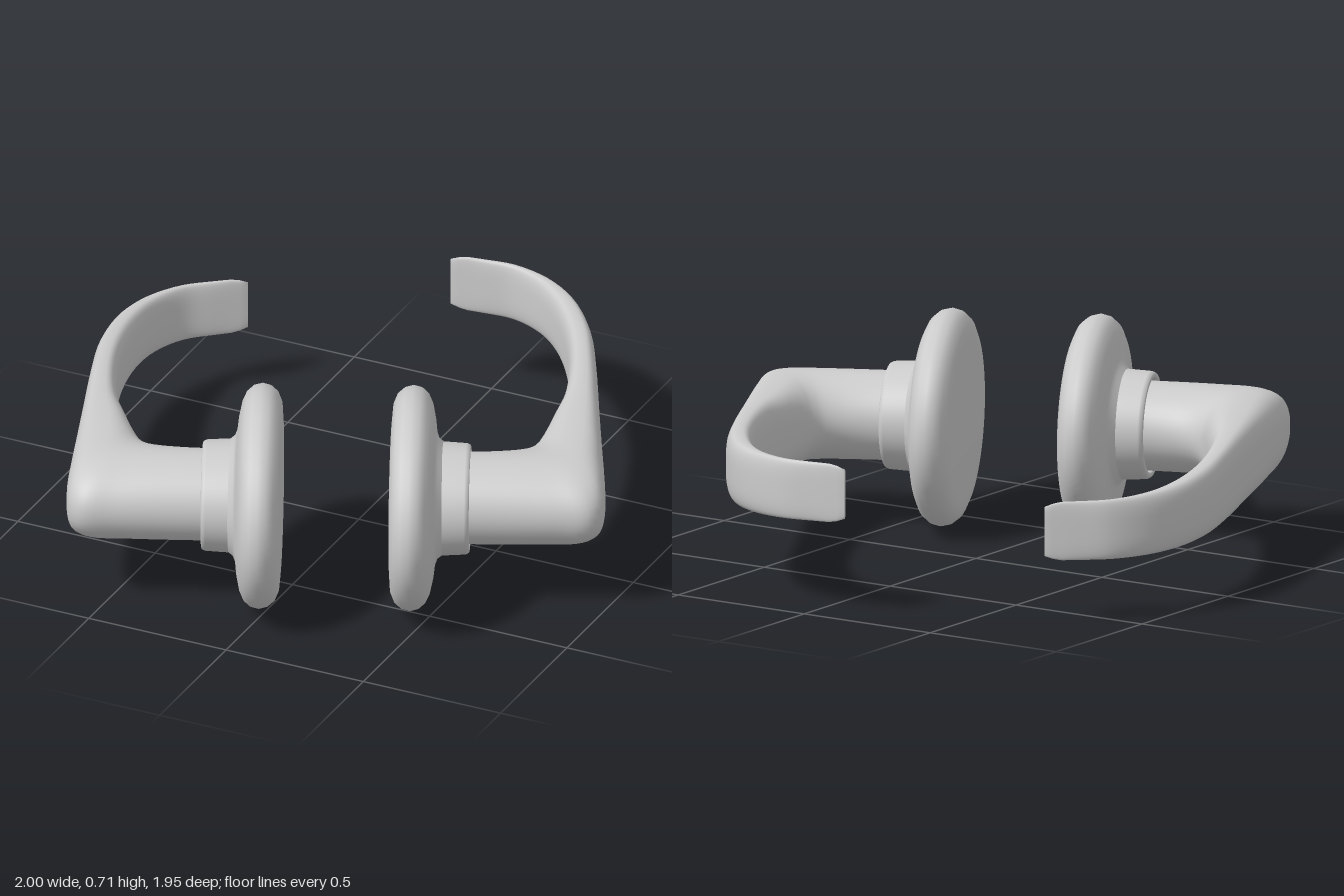
import * as THREE from 'three';

const material = new THREE.MeshStandardMaterial({ color: 0xcccccc });

// Turned part around the spindle (x axis), slightly squashed in height
function turned(name, profile, squash) {
  const pts = profile.map(([r, u]) => new THREE.Vector2(r, u));
  const geo = new THREE.LatheGeometry(pts, 64);
  geo.rotateZ(-Math.PI / 2);
  geo.scale(1, squash, 1);
  const mesh = new THREE.Mesh(geo, material);
  mesh.name = name;
  return mesh;
}

// Lever: loft of superellipse sections spanning an outer and an inner plan curve.
// Each row: outer u, outer w, inner u, inner w, section squareness
const SECTIONS = [
  [0.40, -0.163, 0.40, 0.172, 2],
  [0.60, -0.163, 0.50, 0.183, 2],
  [0.74, -0.163, 0.57, 0.203, 2],
  [0.83, -0.160, 0.615, 0.23, 2.1],
  [0.872, -0.122, 0.64, 0.26, 2.3],
  [0.884, -0.05, 0.657, 0.29, 2.6],
  [0.877, 0.10, 0.675, 0.34, 2.8],
  [0.866, 0.25, 0.695, 0.41, 3],
  [0.849, 0.50, 0.728, 0.54, 3],
  [0.832, 0.76, 0.739, 0.75, 3],
  [0.811, 0.957, 0.722, 0.94, 3],
  [0.754, 1.147, 0.679, 1.115, 3],
  [0.668, 1.273, 0.619, 1.24, 3],
  [0.553, 1.358, 0.535, 1.326, 3],
  [0.445, 1.390, 0.440, 1.364, 3.2],
  [0.334, 1.413, 0.332, 1.400, 4],
];

function lever() {
  const outer = new THREE.CatmullRomCurve3(SECTIONS.map((s) => new THREE.Vector3(s[0], s[1], s[4] / 10)));
  const inner = new THREE.CatmullRomCurve3(SECTIONS.map((s) => new THREE.Vector3(s[2], s[3], 0)));
  const steps = (SECTIONS.length - 1) * 4, sides = 40;
  const pos = [], index = [];
  const power = (v, n) => Math.sign(v) * Math.pow(Math.abs(v), 2 / n);

  for (let i = 0; i <= steps; i++) {
    const o = outer.getPoint(i / steps), q = inner.getPoint(i / steps);
    const n = o.z * 10;
    // Top edge stays level, lower edge rises toward the tip; the end is rounded off
    const trim = i === steps ? 0.015 : i === steps - 1 ? 0.005 : 0;
    const top = 0.147 - trim;
    const rise = 0.07 * Math.max(0, (o.y + q.y) / 2);
    const bottom = -0.147 + rise + trim;
    for (let j = 0; j < sides; j++) {
      const a = (j / sides) * Math.PI * 2;
      const c = power(Math.cos(a), n) / 2, s = power(Math.sin(a), n) / 2;
      pos.push(
        (o.x + q.x) / 2 + (o.x - q.x) * c,
        (top + bottom) / 2 + (top - bottom) * s,
        -((o.y + q.y) / 2 + (o.y - q.y) * c),
      );
    }
  }
  for (let i = 0; i < steps; i++) {
    for (let j = 0; j < sides; j++) {
      const k = (j + 1) % sides;
      const a = i * sides + j, b = a + sides, c = i * sides + k, d = c + sides;
      index.push(a, b, c, c, b, d);
    }
  }
  // Tip cap
  const end = SECTIONS[SECTIONS.length - 1], centre = pos.length / 3;
  pos.push((end[0] + end[2]) / 2, 0.05, -(end[1] + end[3]) / 2);
  for (let j = 0; j < sides; j++) {
    index.push(centre, steps * sides + ((j + 1) % sides), steps * sides + j);
  }

  const geo = new THREE.BufferGeometry();
  geo.setAttribute('position', new THREE.Float32BufferAttribute(pos, 3));
  geo.setIndex(index);
  geo.computeVertexNormals();
  const mesh = new THREE.Mesh(geo, material);
  mesh.name = 'lever';
  return mesh;
}

function handle(name) {
  const group = new THREE.Group();
  group.name = name;
  group.add(
    // Rounded mounting plate with a soft fillet toward the collar
    turned('rosette', [
      [0, 0.18], [0.30, 0.18], [0.355, 0.184], [0.39, 0.197], [0.412, 0.22], [0.42, 0.248],
      [0.412, 0.276], [0.39, 0.298], [0.355, 0.312], [0.30, 0.322], [0.25, 0.327], [0.225, 0.335],
      [0.212, 0.35], [0.19, 0.36],
    ], 0.847),
    turned('collar', [
      [0.21, 0.33], [0.207, 0.38], [0.204, 0.425], [0.203, 0.43], [0.198, 0.438], [0.192, 0.44],
      [0.182, 0.44], [0.178, 0.437], [0.176, 0.43], [0.174, 0.40], [0.10, 0.40],
    ], 0.865),
    lever(),
  );
  return group;
}

export function createModel() {
  const model = new THREE.Group();
  model.name = 'leverHandleSet';

  // The second handle is the first one turned half a revolution about the door plane
  const pair = new THREE.Group();
  pair.name = 'handlePair';
  const second = handle('rightHandle');
  second.rotation.z = Math.PI;
  pair.add(handle('leftHandle'), second);
  pair.rotation.y = 0.42;
  pair.position.set(0.1525, 0.357, 0.485);
  model.add(pair);
  return model;
}
